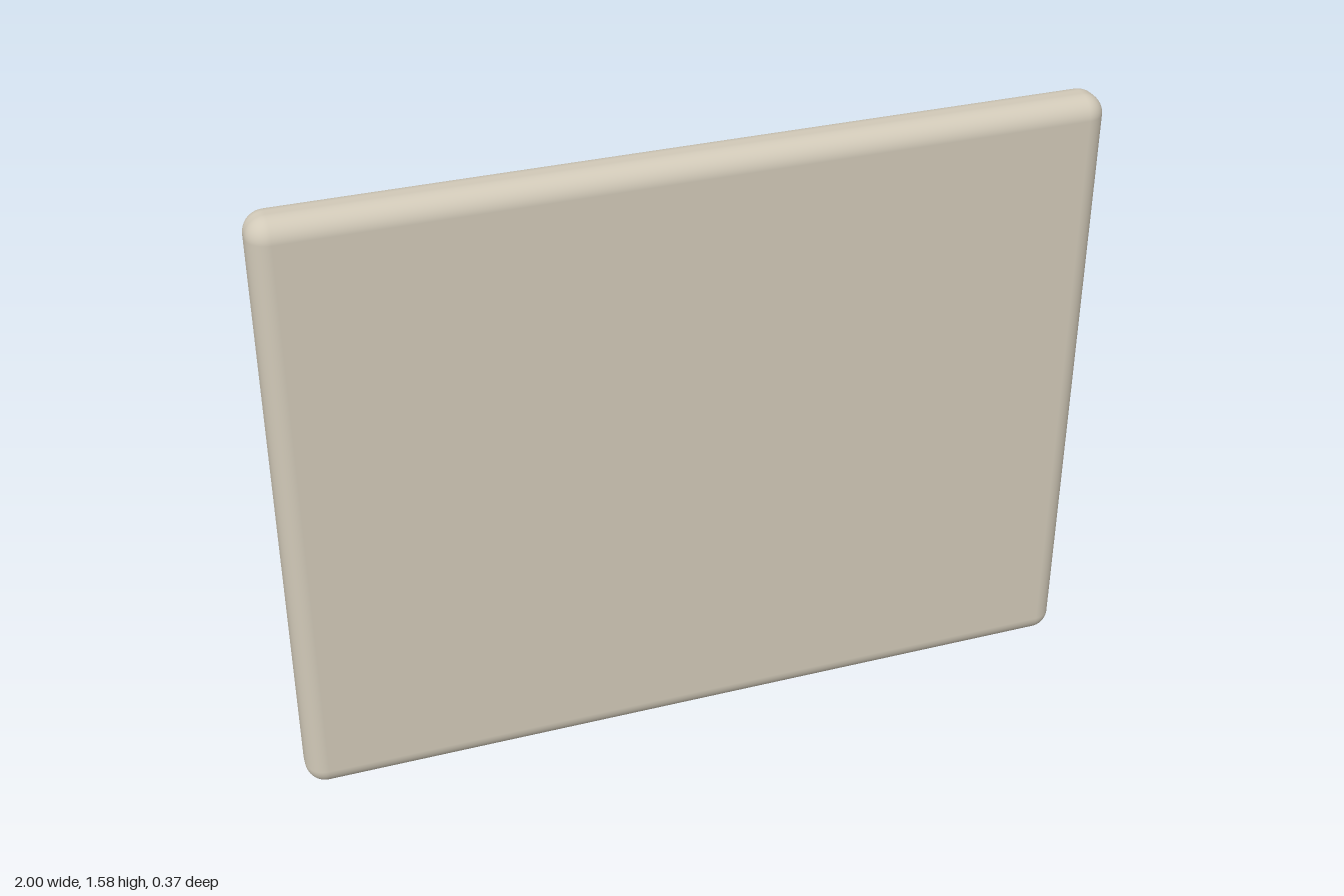
import * as THREE from 'three';
import { RoundedBoxGeometry } from 'three/addons/geometries/RoundedBoxGeometry.js';

const paint = (name, hex) => {
  const m = new THREE.MeshStandardMaterial({ color: hex });
  m.name = name;
  return m;
};

// Closed tube along a curve whose radius swells once per segment
function segmentedTube(curve, segments, radius, dip, steps = 8, sides = 20) {
  const pos = [], idx = [], rows = segments * steps;
  const side = new THREE.Vector3(), up = new THREE.Vector3(), back = new THREE.Vector3(0, 0, -1);
  for (let i = 0; i <= rows; i++) {
    const t = i / rows, c = curve.getPoint(t), dir = curve.getTangent(t);
    side.crossVectors(dir, back).normalize();
    up.crossVectors(dir, side).normalize();
    const bulge = Math.sqrt(Math.abs(Math.sin(Math.PI * i / steps)));
    const r = radius - dip * (1 - bulge);
    for (let j = 0; j < sides; j++) {
      const a = j / sides * Math.PI * 2;
      const p = c.clone().addScaledVector(side, r * Math.cos(a)).addScaledVector(up, r * Math.sin(a));
      pos.push(p.x, p.y, p.z);
    }
  }
  for (let i = 0; i < rows; i++) {
    for (let j = 0; j < sides; j++) {
      const k = (j + 1) % sides, a = i * sides + j, b = i * sides + k;
      idx.push(a, b, a + sides, b, b + sides, a + sides);
    }
  }
  const g = new THREE.BufferGeometry();
  g.setAttribute('position', new THREE.Float32BufferAttribute(pos, 3));
  g.setIndex(idx);
  g.computeVertexNormals();
  return g;
}

export function createModel() {
  const model = new THREE.Group();
  const cream = paint('cream', 0xd1c9b8);
  const orange = paint('orange', 0xcb7a1a);
  const green = paint('green', 0x6cc9a3);
  const red = paint('red', 0xcc5b66);
  const purple = paint('purple', 0xa292d4);

  const add = (name, geometry, material, x = 0, y = 0, z = 0, parent = model) => {
    const m = new THREE.Mesh(geometry, material);
    m.name = name;
    m.position.set(x, y, z);
    parent.add(m);
    return m;
  };

  // Stacked panels
  const midY = 0.808;
  add('basePanel', new RoundedBoxGeometry(2, 1.545, 0.117, 6, 0.05), cream, 0, midY, 0.125);
  add('trimPlate', new RoundedBoxGeometry(1.86, 1.345, 0.05, 3, 0.01), orange, 0, midY + 0.004, 0.079);
  add('cushion', new RoundedBoxGeometry(1.784, 1.285, 0.147, 8, 0.062), green, 0, midY, 0.032);

  // Two buttons on the cushion
  for (const s of [-1, 1]) {
    const button = add('button', new THREE.CylinderGeometry(0.05, 0.05, 0.025, 32), cream, s * 0.37, midY, -0.043);
    button.rotation.x = Math.PI / 2;
  }

  // Wavy segmented cord, weaving gently in depth
  const path = [
    [0.72, 1.06], [0.67, 0.975], [0.605, 0.765], [0.532, 0.605], [0.427, 0.55], [0.32, 0.64],
    [0.241, 0.827], [0.182, 0.985], [0.095, 1.06], [0, 1.027], [-0.076, 0.905], [-0.136, 0.747],
    [-0.195, 0.605], [-0.268, 0.545], [-0.355, 0.625], [-0.44, 0.825], [-0.512, 0.98],
    [-0.598, 1.06], [-0.68, 1.015], [-0.737, 0.925], [-0.785, 0.825],
  ].map(([x, y]) => new THREE.Vector3(x, y, -0.08 - 0.02 * Math.cos(2 * Math.PI * (x - 0.14) / 0.4)));
  add('cord', segmentedTube(new THREE.CatmullRomCurve3(path), 46, 0.041, 0.007), red);
  const tip = path[path.length - 1];
  add('cordTip', new THREE.SphereGeometry(0.036, 20, 14), red, tip.x, tip.y, tip.z);

  // Caged ball at the end of the cord
  const ball = new THREE.Group();
  ball.name = 'cagedBall';
  ball.position.set(0.72, 1.063, -0.086);
  model.add(ball);
  add('ball', new THREE.SphereGeometry(0.088, 32, 24), purple, 0, 0, 0, ball);
  for (const [rx, ry] of [[0, 0], [Math.PI / 2, 0], [0, Math.PI / 2]]) {
    const ring = add('cageRing', new THREE.TorusGeometry(0.089, 0.009, 10, 48), cream, 0, 0, 0, ball);
    ring.rotation.set(rx, ry, 0);
  }

  // Paw under the lower edge: one pad and four toes
  const pad = add('pawPad', new THREE.SphereGeometry(0.067, 32, 20), orange, 0, 0.067, 0.081);
  pad.scale.set(1.3, 1, 0.95);
  for (const s of [-1, 1]) {
    add('outerToe', new THREE.SphereGeometry(0.039, 24, 16), orange, s * 0.108, 0.062, 0);
    add('innerToe', new THREE.SphereGeometry(0.037, 24, 16), orange, s * 0.04, 0.062, -0.065);
  }
  return model;
}
